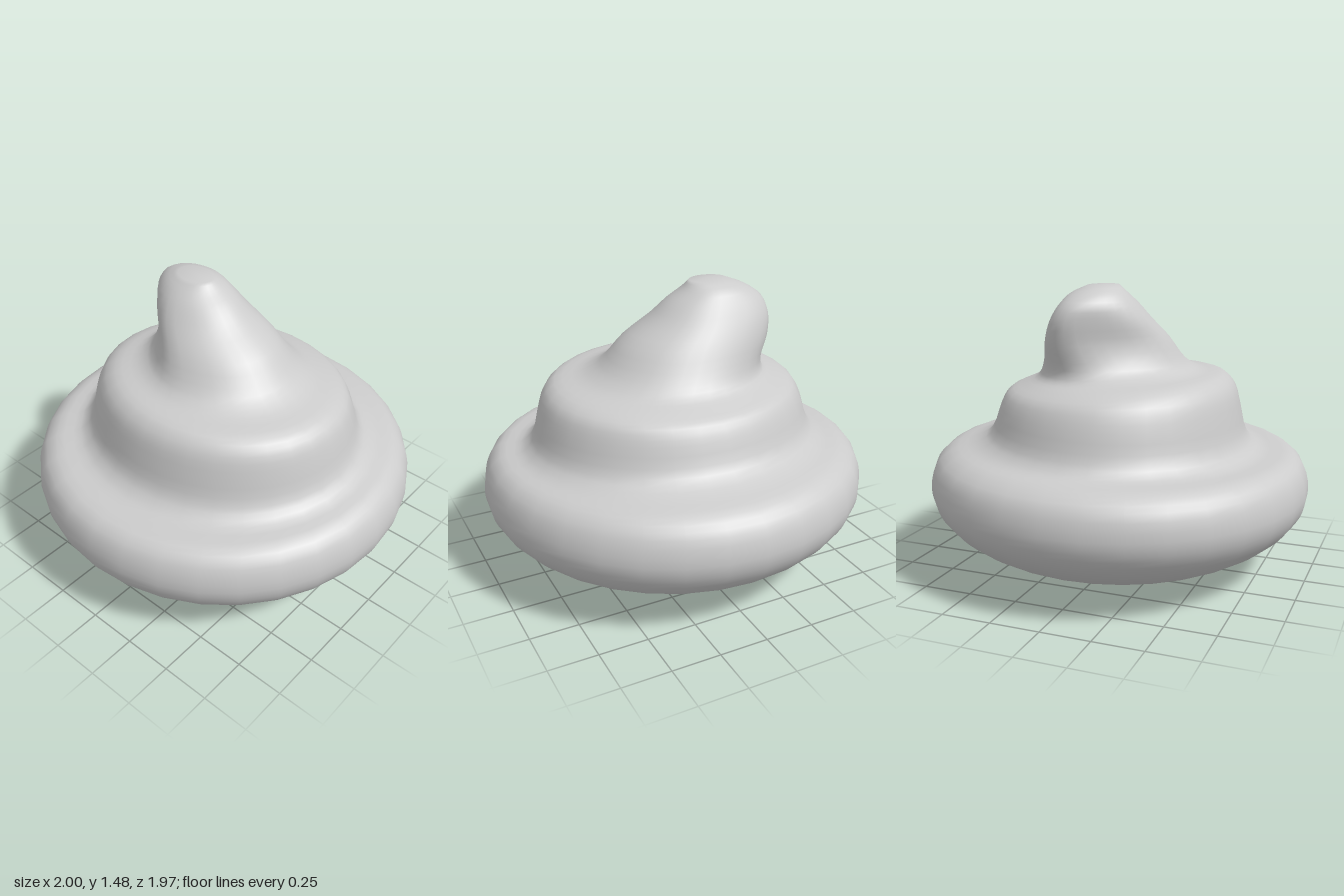
import * as THREE from 'three';

const SIDES = 32;
const STEPS = 3; // smoothing steps between two rings
const BELLY_HEIGHT = 0.44; // height of the widest ring

// Rings above the belly: centre x, centre z, half width, half depth, height, rise towards the front
const UPPER_RINGS = [
  [0, 0, 0.972, 0.955, 0.565, -0.01],
  [0.01, 0, 0.9, 0.885, 0.63, -0.015],
  [0.01, -0.01, 0.8, 0.75, 0.656, -0.025],
  [0.005, 0, 0.74, 0.662, 0.713, -0.02],
  [0.005, 0.01, 0.7, 0.615, 0.85, -0.02],
  [0.01, 0.013, 0.66, 0.578, 0.944, 0.005],
  [0.02, 0.02, 0.59, 0.51, 0.994, 0.018],
  [0, 0.005, 0.48, 0.415, 1.025, 0.01],
  [-0.035, -0.005, 0.415, 0.355, 1.08, 0],
  [-0.1, -0.01, 0.37, 0.29, 1.2, 0],
  [-0.18, -0.015, 0.3, 0.23, 1.305, 0],
  [-0.213, -0.02, 0.243, 0.18, 1.384, 0],
  [-0.218, -0.025, 0.168, 0.135, 1.439, 0],
  [-0.19, -0.015, 0.1, 0.075, 1.477, 0],
];

// Lower half of an ellipsoid, from near the bottom pole to the widest ring
function bellyRings(count) {
  return Array.from({ length: count }, (_, i) => {
    const t = ((i + 1) / count) * Math.PI / 2;
    const r = Math.sin(t);
    return [0, 0, r, 0.985 * r, BELLY_HEIGHT * (1 - Math.cos(t)), -0.01 * r];
  });
}

// Point on a ring; the tip's left side is swept back and hollowed at the front
function ringPoint([cx, cz, rx, rz, y, rise], angle) {
  const c = Math.cos(angle), s = Math.sin(angle);
  const left = Math.max(0, -c), front = Math.max(0, s);
  const twist = 0.09 * Math.sin(Math.PI * THREE.MathUtils.clamp((y - 1) / 0.48, 0, 1));
  const dent = 1 - 3.2 * twist * left * front;
  return new THREE.Vector3(
    cx + c * dent * rx,
    y + rise * s,
    cz + s * dent * rz - twist * left * left,
  );
}

// Closed skin through all rings, smoothed along its height
function loft(rings, bottom, top) {
  const rows = (rings.length - 1) * STEPS + 1;
  const columns = [];
  for (let i = 0; i < SIDES; i++) {
    const angle = (i / SIDES) * Math.PI * 2;
    const curve = new THREE.CatmullRomCurve3(rings.map((r) => ringPoint(r, angle)));
    columns.push(curve.getPoints(rows - 1));
  }
  const positions = [], index = [];
  for (let j = 0; j < rows; j++) {
    for (const column of columns) positions.push(...column[j].toArray());
  }
  positions.push(...bottom, ...top);
  const last = (rows - 1) * SIDES, pole = rows * SIDES;
  for (let i = 0; i < SIDES; i++) {
    const n = (i + 1) % SIDES;
    for (let j = 0; j < rows - 1; j++) {
      const a = j * SIDES + i, b = j * SIDES + n;
      index.push(a, a + SIDES, b, b, a + SIDES, b + SIDES);
    }
    index.push(pole, i, n, pole + 1, last + n, last + i);
  }
  const geometry = new THREE.BufferGeometry();
  geometry.setAttribute('position', new THREE.Float32BufferAttribute(positions, 3));
  geometry.setIndex(index);
  geometry.computeVertexNormals();
  return geometry;
}

export function createModel() {
  const group = new THREE.Group();
  group.name = 'swirlPile';
  const material = new THREE.MeshStandardMaterial({ color: 0xcccccc });
  // Rounded base, middle tier and leaning tip as one continuous skin
  const rings = [...bellyRings(7), ...UPPER_RINGS];
  const swirl = new THREE.Mesh(loft(rings, [0, 0, 0], [-0.19, 1.484, -0.015]), material);
  swirl.name = 'swirlBody';
  group.add(swirl);
  return group;
}
